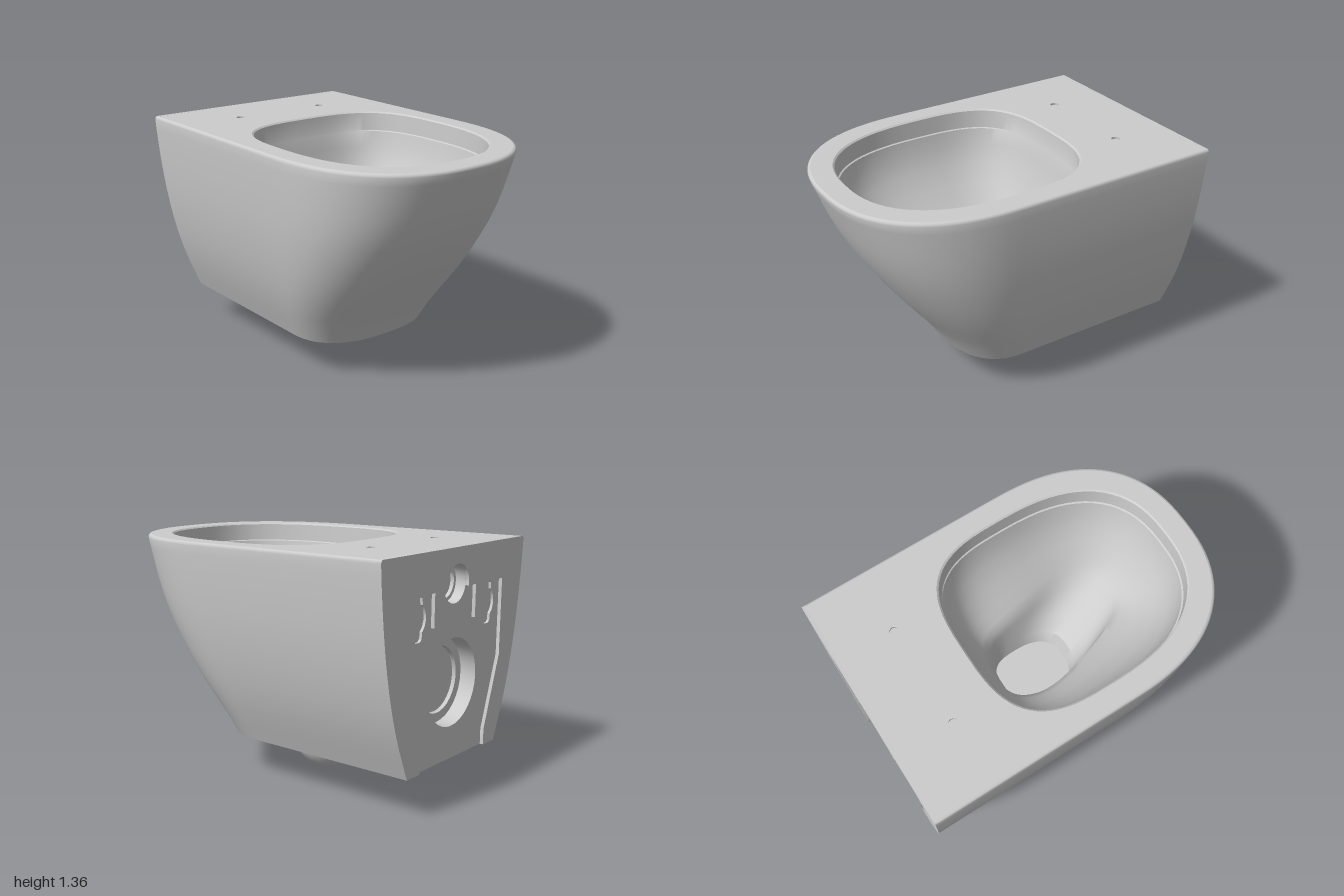
import * as THREE from 'three';
import { toCreasedNormals } from 'three/addons/utils/BufferGeometryUtils.js';

const V2 = (x, y) => new THREE.Vector2(x, y);
const BACK = -1, PANEL = -0.98;

// Outer shell sections: height, half width, front reach
const LEVELS = [
  [0.22, 0.432, 0.352], [0.31, 0.47, 0.405], [0.4, 0.507, 0.468], [0.5, 0.543, 0.545], [0.6, 0.573, 0.62],
  [0.7, 0.598, 0.69], [0.8, 0.619, 0.755], [0.9, 0.637, 0.815], [1.0, 0.651, 0.868], [1.1, 0.663, 0.912],
  [1.2, 0.673, 0.951], [1.28, 0.68, 0.981], [1.325, 0.683, 0.998], [1.335, 0.682, 0.997], [1.342, 0.677, 0.992],
  [1.345, 0.669, 0.984],
];

// Bowl sections: height, half width, back z, front z, sideways drift of the front
const BOWL = [
  [1.345, 0.556, -0.416, 0.866, 0], [1.337, 0.547, -0.407, 0.857, 0], [1.24, 0.543, -0.4, 0.85, 0],
  [1.235, 0.535, -0.398, 0.842, 0], [1.14, 0.52, -0.385, 0.825, 0], [1.04, 0.485, -0.36, 0.79, 0.01],
  [0.93, 0.42, -0.33, 0.745, 0.03], [0.83, 0.335, -0.295, 0.69, 0.06], [0.77, 0.275, -0.27, 0.645, 0.09],
  [0.73, 0.24, -0.255, 0.61, 0.1], [0.66, 0.222, -0.24, 0.54, 0.08], [0.56, 0.205, -0.22, 0.37, 0.04],
  [0.47, 0.193, -0.205, 0.26, 0.01], [0.36, 0.185, -0.2, 0.23, 0],
];

// Trap sections: height, half width, half length
const TRAP = [
  [0.235, 0.188, 0.293], [0.17, 0.183, 0.262], [0.13, 0.177, 0.235], [0.09, 0.162, 0.2], [0.05, 0.132, 0.152],
  [0.02, 0.09, 0.1], [0.005, 0.045, 0.05], [0, 0, 0],
];

const power = (v, n) => Math.sign(v) * Math.abs(v) ** (2 / n);
// The deck rises slightly towards the back
const lift = (z) => 0.006 * (1 - z);

// Plan of the shell: straight sides, rounded front; runs from back right to back left
function plan(w, f, y, back = BACK) {
  const k = THREE.MathUtils.clamp((y - 0.22) / 1.12, 0, 1);
  const d = 0.33 + 0.47 * k, n = 2.5 - 0.1 * k, pts = [V2(-w, back)];
  for (let i = 0; i <= 48; i++) {
    const a = Math.PI * (1 - i / 48);
    pts.push(V2(w * power(Math.cos(a), n), f - d + d * power(Math.sin(a), n)));
  }
  pts.push(V2(w, back));
  return pts;
}

// Plan of the bowl: squarer at the back, rounder at the front
function bowlPlan(w, zb, zf, drift) {
  const mid = zb + (zf - zb) * 0.44, pts = [];
  for (let i = 0; i < 72; i++) {
    const a = Math.PI - (i / 72) * Math.PI * 2, s = Math.sin(a), n = s > 0 ? 2.5 : 3.1;
    const z = mid + (s > 0 ? zf - mid : mid - zb) * power(s, n);
    pts.push(V2(w * power(Math.cos(a), n) + drift * THREE.MathUtils.smoothstep(z, -0.1, 0.55), z));
  }
  return pts;
}

// Skin over rings of [x, y, z] points
function loft(rings, closed, crease = 0.6) {
  const n = rings[0].length, idx = [];
  for (let i = 0; i < rings.length - 1; i++) {
    for (let j = 0; j < (closed ? n : n - 1); j++) {
      const k = (j + 1) % n, a = i * n + j, b = i * n + k;
      idx.push(a, b, b + n, a, b + n, a + n);
    }
  }
  const g = new THREE.BufferGeometry();
  g.setAttribute('position', new THREE.Float32BufferAttribute(rings.flat(2), 3));
  g.setIndex(idx);
  return toCreasedNormals(g, crease);
}

function flat(points, holes = []) {
  const s = new THREE.Shape(points);
  for (const h of holes) s.holes.push(new THREE.Path(h));
  return new THREE.ShapeGeometry(s);
}

function circle(x, y, r, n = 32) {
  return Array.from({ length: n }, (_, i) => {
    const a = (i / n) * Math.PI * 2;
    return V2(x + r * Math.cos(a), y + r * Math.sin(a));
  });
}

export function createModel() {
  const group = new THREE.Group();
  const ceramic = new THREE.MeshStandardMaterial({ color: 0xcccccc, side: THREE.DoubleSide });
  ceramic.name = 'light grey ceramic';
  const add = (name, geometry, x = 0, y = 0, z = 0) => {
    const m = new THREE.Mesh(geometry, ceramic);
    m.name = name;
    m.position.set(x, y, z);
    group.add(m);
    return m;
  };
  const mirrored = (pts) => pts.map((p) => V2(-p.x, p.y));
  const flip = (pts) => pts.map((p) => V2(p.x, -p.y));
  const raise = (y, z) => y + (y > 1.3 ? lift(z) : 0);

  // Outer shell
  const top = LEVELS[LEVELS.length - 1];
  add('outerShell', loft(LEVELS.map(([y, w, f]) =>
    plan(w, f, y).map((p) => [p.x, raise(y, p.y), p.y])), false, 0.8));

  // Bowl and its floor
  add('bowl', loft(BOWL.map(([y, ...section]) =>
    bowlPlan(...section).map((p) => [p.x, raise(y, p.y), p.y])), true, 0.6));
  const [sumpY, ...sump] = BOWL[BOWL.length - 1];
  add('bowlFloor', flat(flip(bowlPlan(...sump))).rotateX(-Math.PI / 2), 0, sumpY);

  // Top deck with the bowl opening and two shallow seat bolt holes
  const bolts = [-0.295, 0.295];
  const deck = flat(flip(plan(top[1], top[2], top[0])),
    [flip(bowlPlan(...BOWL[0].slice(1))), ...bolts.map((x) => circle(x, 0.66, 0.026, 16))]).rotateX(-Math.PI / 2);
  const pos = deck.attributes.position;
  for (let i = 0; i < pos.count; i++) pos.setY(i, top[0] + lift(pos.getZ(i)));
  deck.computeVertexNormals();
  add('topDeck', deck);
  for (const x of bolts) {
    add('seatBoltHole', toCreasedNormals(new THREE.LatheGeometry(
      [V2(0, -0.012), V2(0.026, -0.012), V2(0.026, 0)], 16), 0.5), x, top[0] + lift(-0.66), -0.66);
  }

  // Underside: border, shallow recess and trap bulge
  const [y0, w0, f0] = LEVELS[0];
  const inset = plan(w0 - 0.05, f0 - 0.05, y0, -0.92);
  const border = [...plan(w0, f0, y0), V2(0.32, BACK), V2(0.32, PANEL), V2(-0.32, PANEL), V2(-0.32, BACK)];
  add('baseBorder', flat(border, [inset]).rotateX(Math.PI / 2), 0, y0);
  add('baseRecessWall', loft([y0 + 0.01, y0].map((y) => inset.map((p) => [p.x, y, p.y])), true));
  add('baseRecess', flat(inset).rotateX(Math.PI / 2), 0, y0 + 0.01);
  add('trapBulge', loft(TRAP.map(([y, rx, rz]) =>
    circle(0, 0, 1).map((p) => [p.x * rx, y, p.y * rz])), true, 1), 0, 0, -0.15);

  // Back frame standing proud of the mounting panel
  const side = LEVELS.map(([y, w]) => V2(w, raise(y, BACK)));
  const backOutline = [...side, ...mirrored(side).reverse()];
  const inner = [[0.32, 0.22], [0.32, 0.31], [0.457, 0.715], [0.457, 1.145], [0.218, 1.145],
    [0.218, 0.965], [0.178, 0.965], [0.178, 1.145]].map((p) => V2(...p));
  const arc = Array.from({ length: 21 }, (_, i) => {
    const a = Math.PI + 0.2 - (i / 20) * (Math.PI + 0.4);
    return V2(0.105 * Math.cos(a), 1.166 + 0.105 * Math.sin(a));
  });
  const frame = new THREE.Shape([...backOutline, ...mirrored(inner), ...arc, ...inner.slice().reverse()]);
  add('backFrame', toCreasedNormals(new THREE.ExtrudeGeometry(frame, { depth: PANEL - BACK, bevelEnabled: false })
    .rotateY(Math.PI), 0.5), 0, 0, PANEL);

  // Mounting panel with pipe openings and two keyhole fixings
  const keyHalf = [[0.018, -0.118], [0.034, -0.105], [0.038, -0.068], [0.058, -0.045], [0.068, -0.015],
    [0.068, 0.015], [0.058, 0.045], [0.038, 0.068], [0.034, 0.105], [0.018, 0.118]].map((p) => V2(...p));
  const key = [...keyHalf, ...mirrored(keyHalf).reverse()];
  const keyAt = (x) => key.map((p) => V2(p.x + x, p.y + 1.025));
  add('mountingPanel', flat(backOutline, [circle(0, 1.166, 0.105), circle(0, 0.64, 0.24),
    keyAt(-0.335), keyAt(0.335)]).rotateY(Math.PI), 0, 0, PANEL);
  for (const x of [-0.335, 0.335]) {
    add('fixingWall', loft([0, 0.015].map((d) => keyAt(x).map((p) => [p.x, p.y, PANEL + d])), true));
    add('fixingFloor', flat(keyAt(x)).rotateY(Math.PI), 0, 0, PANEL + 0.015);
  }

  // Stepped pipe sockets
  const socket = (name, y, profile) => add(name, toCreasedNormals(
    new THREE.LatheGeometry(profile.map((p) => V2(...p)), 32).rotateX(Math.PI / 2), 0.5), 0, y, PANEL);
  socket('inletSocket', 1.166, [[0.105, 0], [0.105, 0.06], [0.085, 0.06], [0.083, 0.08], [0, 0.08]]);
  socket('outletSocket', 0.64, [[0.24, 0], [0.235, 0.09], [0.185, 0.09], [0.18, 0.11], [0, 0.11]]);

  return group;
}
